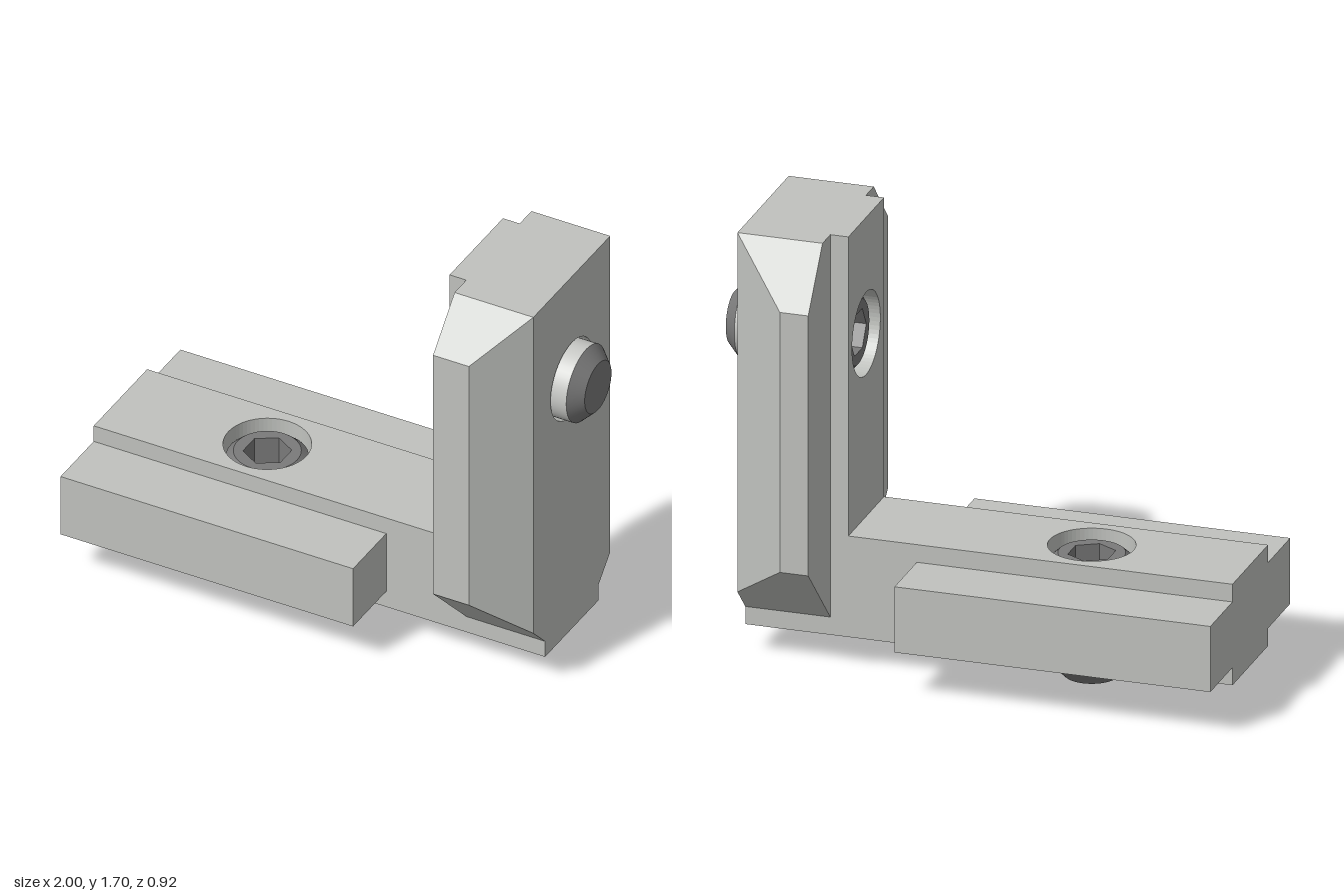
import * as THREE from 'three';
import { ConvexGeometry } from 'three/addons/geometries/ConvexGeometry.js';

const bodyMat = new THREE.MeshStandardMaterial({ color: 0xc0c2be });
bodyMat.name = 'bracket grey';
const shankMat = new THREE.MeshStandardMaterial({ color: 0xc8c9c6, side: THREE.DoubleSide });
shankMat.name = 'screw side grey';
const endMat = new THREE.MeshStandardMaterial({ color: 0x7a7a7a, side: THREE.DoubleSide });
endMat.name = 'screw end dark grey';

const CORE = 0.205; // half width of the narrow core

function add(group, name, geometry, material) {
  const mesh = new THREE.Mesh(geometry, material);
  mesh.name = name;
  group.add(mesh);
  return mesh;
}

// Rectangular plate with one round through hole
function drilledPlate(x0, y0, x1, y1, hx, hy, depth) {
  const shape = new THREE.Shape([
    new THREE.Vector2(x0, y0), new THREE.Vector2(x1, y0),
    new THREE.Vector2(x1, y1), new THREE.Vector2(x0, y1),
  ]);
  shape.holes.push(new THREE.Path().absarc(hx, hy, 0.163, 0, Math.PI * 2, true));
  return new THREE.ExtrudeGeometry(shape, { depth, bevelEnabled: false, curveSegments: 32 });
}

// Band of revolution between two (radius, height) points
function band(r0, y0, r1, y1, sides = 48) {
  return new THREE.LatheGeometry([new THREE.Vector2(r0, y0), new THREE.Vector2(r1, y1)], sides);
}

// Set screw: tip at y = 0, hex socket at the top
function createScrew(name) {
  const g = new THREE.Group();
  g.name = name;
  add(g, 'screwTip', band(0, 0, 0.103, 0), endMat);
  add(g, 'screwTipChamfer', band(0.103, 0, 0.153, 0.05), endMat);
  add(g, 'screwShank', band(0.153, 0.05, 0.153, 0.455), shankMat);
  add(g, 'screwTopChamfer', band(0.153, 0.455, 0.125, 0.48), endMat);

  const ring = new THREE.Shape().absarc(0, 0, 0.125, 0, Math.PI * 2);
  const hex = [];
  for (let i = 0; i < 6; i++) {
    const a = Math.PI / 2 - i * Math.PI / 3;
    hex.push(new THREE.Vector2(0.09 * Math.cos(a), 0.09 * Math.sin(a)));
  }
  ring.holes.push(new THREE.Path(hex));
  const socket = new THREE.ExtrudeGeometry(ring, { depth: 0.15, bevelEnabled: false, curveSegments: 24 });
  socket.rotateX(-Math.PI / 2).translate(0, 0.33, 0);
  add(g, 'hexSocket', socket, endMat);

  // Faceted conical socket floor
  const floor = band(0, 0.29, 0.09, 0.33, 6).toNonIndexed();
  floor.computeVertexNormals();
  add(g, 'socketFloor', floor, endMat);
  return g;
}

// Bevelled wing on one side of the upright
function wingGeometry(side, outerX, outerTop) {
  const x0 = 0.56, x1 = 0.89, shoulder = 0.295, out = 0.46, top = 1.695;
  const low = z => 0.18 + (z - CORE) * (0.26 / (out - CORE));
  const pts = [];
  for (const [x, z, y] of [
    [x0, CORE, top], [x0, shoulder, top], [x0, out, outerTop],
    [outerX, out, outerTop], [x1, shoulder, top], [x1, CORE, top],
  ]) {
    pts.push(new THREE.Vector3(x, y, z * side), new THREE.Vector3(x, low(z), z * side));
  }
  return new ConvexGeometry(pts);
}

export function createModel() {
  const model = new THREE.Group();
  model.name = 'cornerBracket';

  // Horizontal arm
  const arm = drilledPlate(-1, -CORE, 0.49, CORE, -0.385, 0, 0.4);
  arm.rotateX(-Math.PI / 2).translate(0, 0.11, 0);
  add(model, 'horizontalArm', arm, bodyMat);

  // Upright arm
  const upright = drilledPlate(-CORE, 0.11, CORE, 1.695, 0, 1.235, 0.4);
  upright.rotateY(Math.PI / 2).translate(0.49, 0, 0);
  add(model, 'uprightArm', upright, bodyMat);

  // Side rails of the horizontal arm
  for (const s of [1, -1]) {
    const rail = add(model, s > 0 ? 'frontRail' : 'backRail',
      new THREE.BoxGeometry(1.225, 0.26, 0.46 - CORE), bodyMat);
    rail.position.set(-0.3875, 0.31, s * (0.46 + CORE) / 2);
  }

  // Wings of the upright, slightly different front and back
  add(model, 'frontWing', wingGeometry(1, 0.71, 1.515), bodyMat);
  add(model, 'backWing', wingGeometry(-1, 0.67, 1.47), bodyMat);

  // Set screws
  const lower = createScrew('lowerScrew');
  lower.position.set(-0.385, 0, 0);
  const upper = createScrew('upperScrew');
  upper.rotation.z = Math.PI / 2;
  upper.position.set(1, 1.235, 0);
  model.add(lower, upper);

  return model;
}
